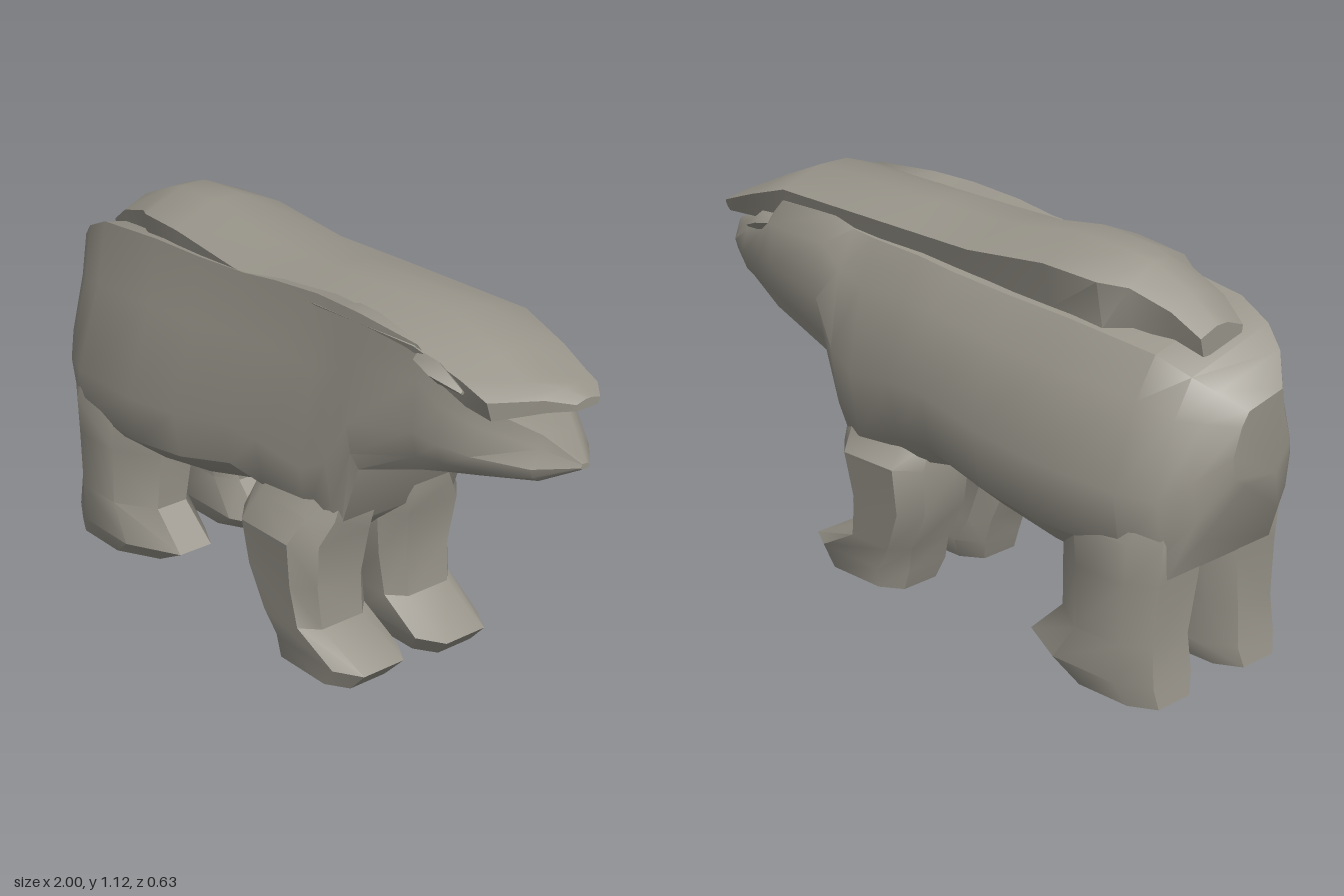
import * as THREE from 'three';
import { toCreasedNormals } from 'three/addons/utils/BufferGeometryUtils.js';

// Skin a list of equal-length rings of [x, y, z] and cap both ends
function loft(rings) {
  const n = rings[0].length, tris = [];
  const at = (r, i) => rings[r][(i + n) % n];
  for (let r = 0; r < rings.length - 1; r++) {
    for (let i = 0; i < n; i++) {
      tris.push([at(r, i), at(r, i + 1), at(r + 1, i + 1)], [at(r, i), at(r + 1, i + 1), at(r + 1, i)]);
    }
  }
  const last = rings.length - 1;
  for (let i = 1; i < n - 1; i++) {
    tris.push([at(0, 0), at(0, i + 1), at(0, i)], [at(last, 0), at(last, i), at(last, i + 1)]);
  }
  // Turn the faces outward when the enclosed volume comes out negative
  const v = tris.map(t => t.map(p => new THREE.Vector3(...p)));
  const volume = v.reduce((s, [a, b, c]) => s + a.dot(b.clone().cross(c)), 0);
  if (volume < 0) v.forEach(t => t.reverse());
  const geo = new THREE.BufferGeometry().setFromPoints(v.flat());
  return toCreasedNormals(geo, 0.7);
}

// Trunk section: upright shoulder on the right, lower sloping one on the left
function trunkRing([x, yb, yt, zc, wb, wm, wt]) {
  const shoulder = wm * 0.3 + wt * 0.7;
  const right = [[0, wb], [0.12, wm * 0.93], [0.33, wm], [0.72, shoulder], [1, wt]];
  const left = [[0, wb], [0.12, wm * 0.9], [0.38, wm], [0.72, shoulder], [0.88, wt * 0.8]];
  const half = (side, s) => side.map(([t, w]) => [x, yb + (yt - yb) * t, zc + s * w]);
  return [...half(right, 1), ...half(left, -1).reverse()];
}

// Back section: shallow ridge with upright rims
function backRing([x, yb, yt, zc, w]) {
  const rim = yt - (yt - yb) * 0.3;
  return [[x, yb, zc + w * 0.9], [x, rim, zc + w], [x, yt, zc + w * 0.25],
    [x, yt, zc - w * 0.25], [x, rim, zc - w], [x, yb, zc - w * 0.85]];
}

// Leg section: rectangle with cut corners, the outer front one cut more by bevel
function legRing([y, x0, x1, z0, z1], side, dx, dz, bevel) {
  const cx = (x1 - x0) * 0.2, cz = (z1 - z0) * 0.2;
  return [[x0 + cx, z0], [x1 - cx, z0], [x1, z0 + cz], [x1, z1 - cz * bevel],
    [x1 - cx * bevel, z1], [x0 + cx, z1], [x0, z1 - cz], [x0, z0 + cz]]
    .map(([x, z]) => [x + dx, y, side * z + dz]);
}

export function createModel() {
  const model = new THREE.Group();
  const fur = new THREE.MeshStandardMaterial({ color: 0x98948a });
  fur.name = 'greyFur';
  const add = (name, geo) => {
    const mesh = new THREE.Mesh(geo, fur);
    mesh.name = name;
    model.add(mesh);
  };

  // Trunk, chest, neck and lower head, from rump to nose
  add('body', loft([
    [-1.0, 0.60, 0.82, 0, 0.06, 0.11, 0.07],
    [-0.94, 0.46, 0.89, 0, 0.15, 0.19, 0.13],
    [-0.88, 0.35, 0.94, -0.005, 0.20, 0.245, 0.16],
    [-0.78, 0.34, 0.985, -0.01, 0.21, 0.29, 0.18],
    [-0.50, 0.345, 1.02, -0.01, 0.19, 0.31, 0.20],
    [-0.30, 0.375, 1.03, -0.01, 0.18, 0.305, 0.205],
    [-0.10, 0.43, 1.045, -0.015, 0.18, 0.29, 0.21],
    [0.03, 0.41, 1.065, -0.015, 0.19, 0.28, 0.21],
    [0.20, 0.36, 1.08, -0.015, 0.18, 0.265, 0.205],
    [0.29, 0.44, 1.08, -0.015, 0.20, 0.255, 0.205],
    [0.36, 0.64, 1.08, -0.015, 0.20, 0.245, 0.205],
    [0.58, 0.72, 1.065, -0.02, 0.19, 0.22, 0.205],
    [0.66, 0.74, 0.99, -0.015, 0.17, 0.205, 0.18],
    [0.76, 0.76, 0.95, -0.01, 0.14, 0.18, 0.15],
    [0.90, 0.78, 0.90, 0, 0.07, 0.10, 0.06],
    [1.0, 0.835, 0.85, 0.015, 0.01, 0.015, 0.01],
  ].map(trunkRing)));

  // Raised back running forward into the brow
  add('back', loft([
    [-0.86, 0.90, 0.97, 0, 0.08],
    [-0.78, 0.93, 1.035, 0, 0.10],
    [-0.66, 0.93, 1.09, 0, 0.12],
    [-0.60, 0.93, 1.11, -0.01, 0.165],
    [-0.42, 0.94, 1.12, 0, 0.18],
    [-0.15, 0.94, 1.085, 0.005, 0.185],
    [0.10, 0.95, 1.09, 0.005, 0.19],
    [0.57, 0.95, 1.105, 0, 0.19],
    [0.72, 0.94, 1.045, -0.005, 0.175],
    [0.81, 0.93, 1.005, 0, 0.165],
    [0.86, 0.93, 0.98, -0.07, 0.09],
    [0.90, 0.93, 0.955, -0.09, 0.04],
  ].map(backRing)));

  const frontLeg = [
    [0.005, 0.07, 0.38, 0.065, 0.265],
    [0.065, 0.05, 0.435, 0.04, 0.27],
    [0.14, 0.03, 0.27, 0.045, 0.28],
    [0.26, -0.03, 0.26, 0.04, 0.29],
    [0.40, -0.04, 0.28, 0.02, 0.31],
    [0.47, -0.03, 0.30, 0.03, 0.26],
    [0.58, 0.02, 0.30, 0.06, 0.20],
  ];
  const hindLeg = [
    [0.005, -0.89, -0.53, 0.065, 0.26],
    [0.065, -0.88, -0.42, 0.04, 0.28],
    [0.17, -0.87, -0.53, 0.05, 0.27],
    [0.34, -0.88, -0.52, 0.02, 0.27],
    [0.45, -0.89, -0.50, 0.03, 0.27],
    [0.58, -0.86, -0.50, 0.06, 0.22],
  ];
  const sides = [
    { label: 'left', side: -1, frontX: 0.01, frontZ: 0.025, hindZ: -0.01, earY: 0.95 },
    { label: 'right', side: 1, frontX: 0, frontZ: 0, hindZ: 0, earY: 1.02 },
  ];
  for (const { label, side, frontX, frontZ, hindZ, earY } of sides) {
    add(label + 'FrontLeg', loft(frontLeg.map(r => legRing(r, side, frontX, frontZ, 1))));
    add(label + 'HindLeg', loft(hindLeg.map(r => legRing(r, side, 0, hindZ, 1.7))));

    // Small ear tuft beside the brow
    const ear = (x, dy, z, s) => [[-s, 0], [0, s], [s, 0], [0, -s]].map(([v, w]) => [x, earY + dy + v, (z + w) * side]);
    add(label + 'Ear', loft([ear(0.58, 0.01, 0.18, 0.02), ear(0.66, 0, 0.19, 0.03), ear(0.74, -0.03, 0.18, 0.006)]));
  }
  return model;
}
